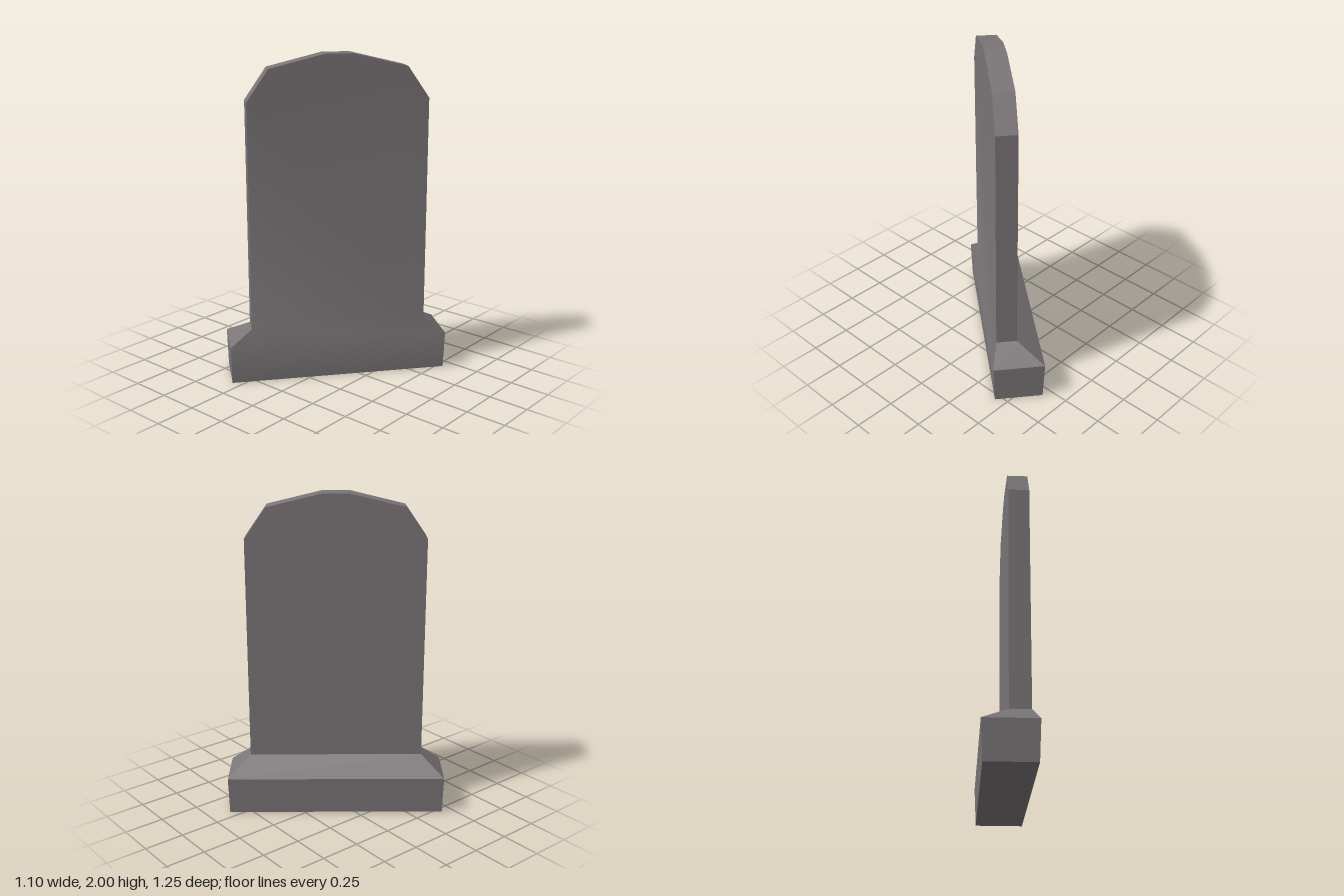
import * as THREE from 'three';
import { mergeGeometries, toCreasedNormals } from 'three/addons/utils/BufferGeometryUtils.js';
import { ConvexGeometry } from 'three/addons/geometries/ConvexGeometry.js';

// slab footprint, shared by the slab and the top of the plinth
const HALF = 0.544, BACK = -0.004, FRONT = 0.121, SHOULDER = 0.335;

// upright slab with a faceted round head
function slabGeometry() {
  const right = [[HALF, SHOULDER], [HALF, 1.73], [0.413, 1.92], [0.084, 2]];
  const left = right.map(([x, y]) => [-x, y]).reverse();
  const outline = [...right, ...left].map(([x, y]) => new THREE.Vector2(x, y));
  const geo = new THREE.ExtrudeGeometry(new THREE.Shape(outline), { depth: FRONT - BACK, bevelEnabled: false });
  return geo.translate(0, 0, BACK);
}

// plinth: slightly flared block, then sloping in to the slab's foot
function plinthGeometry() {
  const rings = [ // y, half length, back z, front z
    [0, 0.673, -0.147, 0.147],
    [0.235, 0.679, -0.157, 0.157],
    [SHOULDER, HALF, BACK, FRONT],
  ];
  const points = [];
  for (const [y, half, back, front] of rings)
    for (const x of [-half, half])
      for (const z of [back, front]) points.push(new THREE.Vector3(x, y, z));
  return new ConvexGeometry(points);
}

// copy a run of vertices out of a non-indexed geometry
function slice(geo, start, end) {
  const part = new THREE.BufferGeometry();
  for (const name of ['position', 'normal']) {
    const values = geo.getAttribute(name).array.slice(start * 3, end * 3);
    part.setAttribute(name, new THREE.BufferAttribute(values, 3));
  }
  return part;
}

export function createModel() {
  const group = new THREE.Group();
  group.name = 'gravestone';
  const stone = new THREE.MeshStandardMaterial({ color: 0x7a7577 });

  // crease both parts together so the front shades smoothly across their joint
  const parts = [slabGeometry(), plinthGeometry()];
  parts.forEach((g) => g.deleteAttribute('uv'));
  const split = parts[0].getAttribute('position').count;
  const whole = toCreasedNormals(mergeGeometries(parts), 0.4);
  const total = whole.getAttribute('position').count;

  const add = (name, start, end) => {
    const mesh = new THREE.Mesh(slice(whole, start, end), stone);
    mesh.name = name;
    group.add(mesh);
  };
  add('slab', 0, split);
  add('plinth', split, total);

  // the stone stands turned on its plot
  const turned = new THREE.Group();
  turned.name = 'turnedStone';
  turned.rotation.y = 0.89;
  turned.add(...group.children);
  group.add(turned);
  return group;
}
